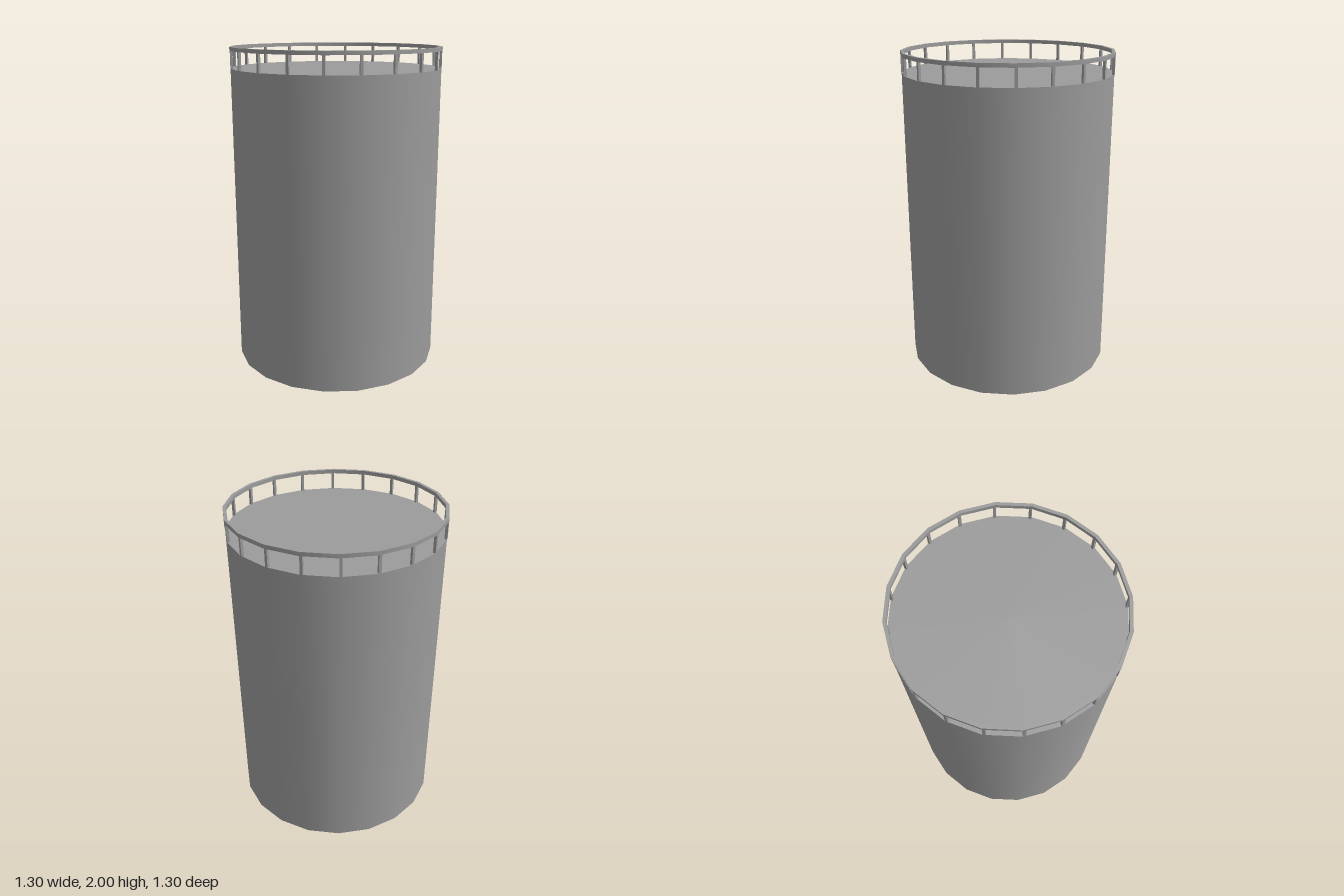
import * as THREE from 'three';
import { toCreasedNormals } from 'three/addons/utils/BufferGeometryUtils.js';

const SIDES = 20;
const TANK_RADIUS = 0.647;
const TANK_TOP = 1.872;
const RAIL_OUTER = 0.65;
const RAIL_INNER = 0.63;
const RAIL_BOTTOM = 1.977;
const TOP = 2;
const POST_WIDTH = 0.016;

export function createModel() {
  const model = new THREE.Group();
  model.name = 'storageTank';
  const material = new THREE.MeshStandardMaterial({ color: 0x9b9b9b });

  const add = (name, geometry, parent = model) => {
    const mesh = new THREE.Mesh(geometry, material);
    mesh.name = name;
    parent.add(mesh);
    return mesh;
  };

  // Closed tank body, smooth round the wall
  const body = add('tankBody', new THREE.CylinderGeometry(TANK_RADIUS, TANK_RADIUS, TANK_TOP, SIDES));
  body.position.y = TANK_TOP / 2;

  // Flat ring handrail with a square section
  const section = [
    [RAIL_INNER, RAIL_BOTTOM], [RAIL_OUTER, RAIL_BOTTOM],
    [RAIL_OUTER, TOP], [RAIL_INNER, TOP], [RAIL_INNER, RAIL_BOTTOM],
  ].map(([r, y]) => new THREE.Vector2(r, y));
  add('handrail', toCreasedNormals(new THREE.LatheGeometry(section, SIDES), Math.PI / 6));

  // Railing posts, each standing just beside a corner of the ring
  const posts = new THREE.Group();
  posts.name = 'railingPosts';
  model.add(posts);
  const postHeight = RAIL_BOTTOM - TANK_TOP;
  const postGeometry = new THREE.BoxGeometry(POST_WIDTH, postHeight, POST_WIDTH);
  postGeometry.translate(POST_WIDTH / 2, TANK_TOP + postHeight / 2, (RAIL_OUTER + RAIL_INNER) / 2);
  for (let i = 0; i < SIDES; i++) {
    add('railingPost', postGeometry, posts).rotation.y = (i / SIDES) * Math.PI * 2;
  }

  return model;
}
